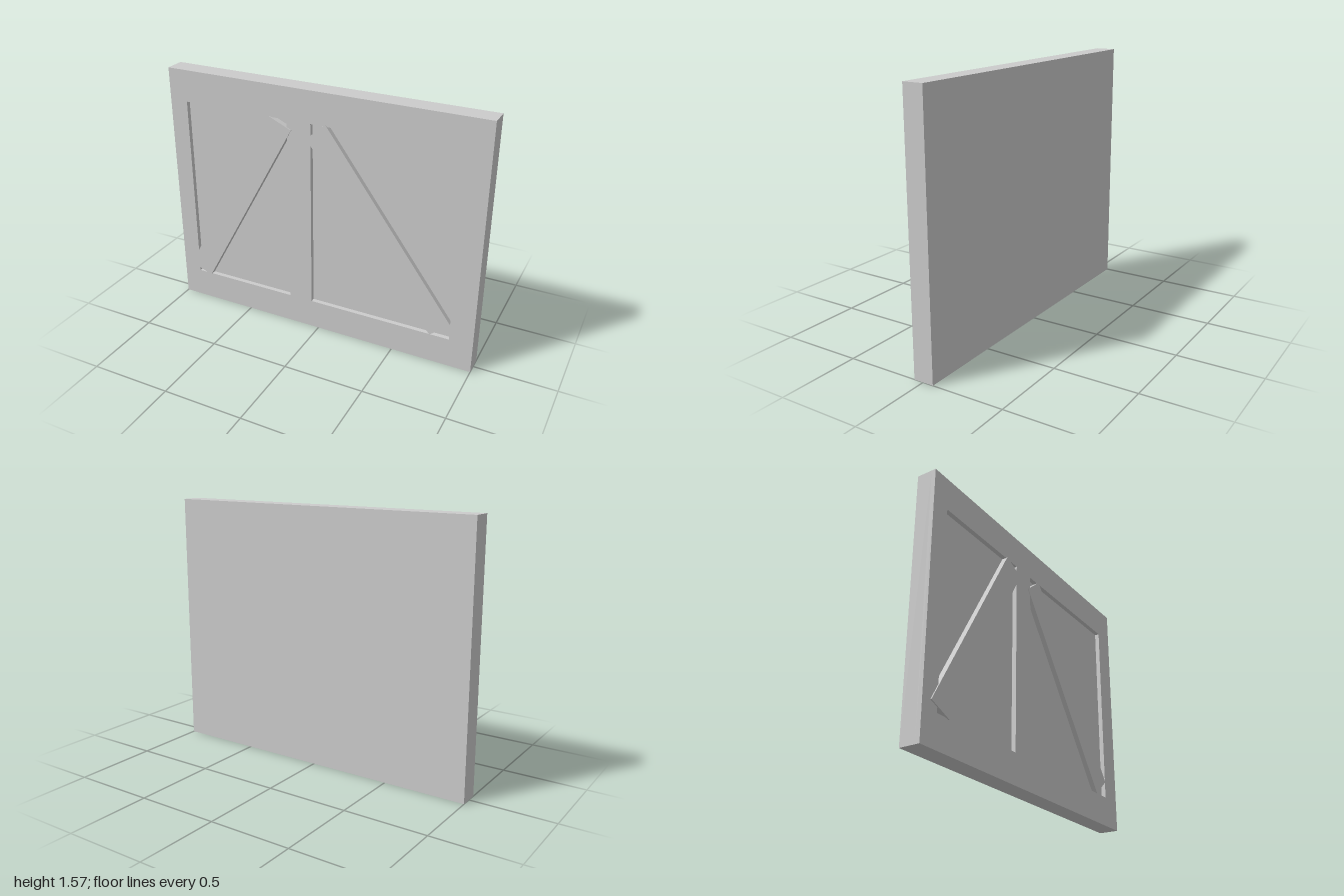
import * as THREE from 'three';

const BACK = -0.065, FLOOR = 0.03, FRONT = 0.058;

export function createModel() {
  const group = new THREE.Group();
  const material = new THREE.MeshStandardMaterial({ color: 0xcccccc, flatShading: true });

  const outline = (points, Type = THREE.Shape) =>
    new Type(points.map(([x, y]) => new THREE.Vector2(x, y)));
  const rect = (x0, y0, x1, y1) => [[x0, y0], [x1, y0], [x1, y1], [x0, y1]];

  // Flat board cut from a shape, running from z0 to z1
  function addBoard(name, shape, z0, z1) {
    const geometry = new THREE.ExtrudeGeometry(shape, { depth: z1 - z0, bevelEnabled: false });
    const mesh = new THREE.Mesh(geometry, material);
    mesh.name = name;
    mesh.position.z = z0;
    group.add(mesh);
  }

  // Solid panel behind the frame
  addBoard('backPanel', outline(rect(-1, 0, 1, 1.57)), BACK, FLOOR);

  // Frame with two rectangular openings
  const frame = outline(rect(-1, 0, 1, 1.57));
  for (const [x0, x1] of [[-0.885, -0.2], [-0.048, 0.855]]) {
    frame.holes.push(outline(rect(x0, 0.187, x1, 1.373), THREE.Path));
  }
  addBoard('frame', frame, FLOOR, FRONT);

  // Diagonal braces, standing slightly proud of the frame
  addBoard('rightBrace',
    outline([[-0.795, 0.18], [-0.17, 1.315], [-0.312, 1.378], [-0.94, 0.24]]), FLOOR, 0.065);
  addBoard('leftBrace',
    outline([[0.735, 0.185], [0.855, 0.29], [0.047, 1.385], [-0.075, 1.28]]), FLOOR, 0.061);

  return group;
}
